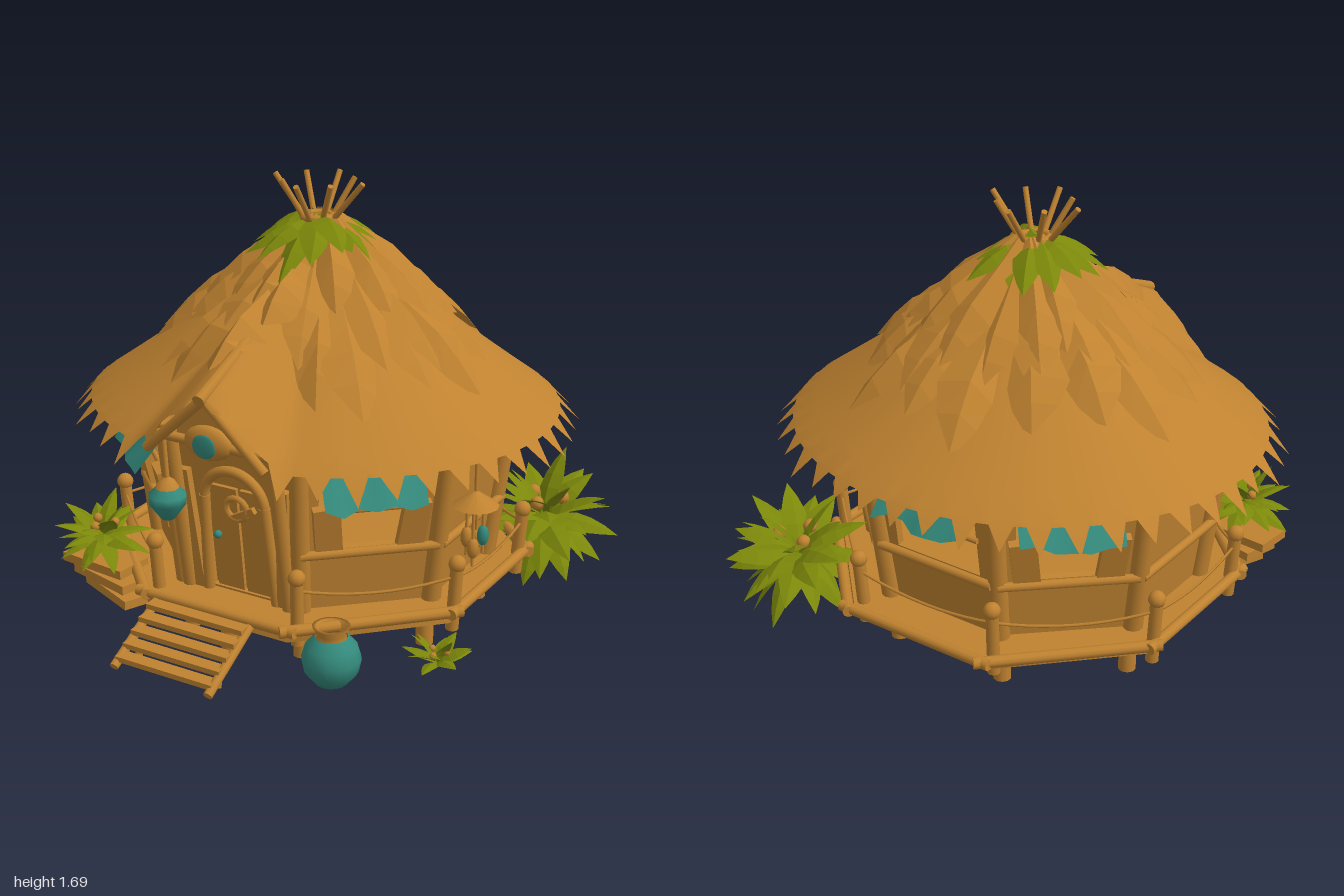
import * as THREE from 'three';

const mat = (name, color) => new THREE.MeshStandardMaterial({ name, color, side: THREE.DoubleSide });
const wood = mat('wood', 0xbf8230), green = mat('leaf green', 0x7c880a), teal = mat('teal', 0x348a7c);
const V = (x, y, z) => new THREE.Vector3(x, y, z);
const CZ = -0.06; // z of the hut's axis
const OVAL = 0.92; // depth of the walls against their width
let seed = 7;
const rnd = (a = 0, b = 1) => a + (b - a) * ((seed = (seed * 16807) % 2147483647) / 2147483647);

function add(parent, name, geo, material, p = [0, 0, 0], rot = [0, 0, 0]) {
  const m = new THREE.Mesh(geo, material);
  m.name = name;
  m.position.set(...p);
  m.rotation.set(...rot);
  parent.add(m);
  return m;
}
function group(parent, name, p = [0, 0, 0]) {
  const g = new THREE.Group();
  g.name = name;
  g.position.set(...p);
  parent.add(g);
  return g;
}
// Round pole between two points
function log(parent, name, a, b, r, r2 = r) {
  const d = b.clone().sub(a);
  const m = add(parent, name, new THREE.CylinderGeometry(r2, r, d.length(), 10), wood);
  m.position.copy(a).addScaledVector(d, 0.5);
  m.quaternion.setFromUnitVectors(V(0, 1, 0), d.normalize());
}
const box = (parent, name, s, p, rot) => add(parent, name, new THREE.BoxGeometry(...s), wood, p, rot);
// Corner k of the octagonal plan; corners 7 and 0 bracket the front
function corner(k, R, y, depth = OVAL) {
  const a = (k + 0.5) * Math.PI / 4;
  return V(Math.sin(a) * R, y, Math.cos(a) * R * depth + CZ);
}

// Folded leaf along +z, from cross-sections of three points
function leafGeo(L, w, fold, bend, widths = [0.2, 0.75, 1, 0.85, 0.5, 0]) {
  const pos = [], idx = [], n = widths.length;
  widths.forEach((f, i) => {
    const t = i / (n - 1), y = -bend * t * t;
    pos.push(-w * f / 2, y, t * L, 0, y + fold * f, t * L, w * f / 2, y, t * L);
    if (i) for (const k of [0, 1]) {
      const a = (i - 1) * 3 + k;
      idx.push(a, a + 3, a + 1, a + 1, a + 3, a + 4);
    }
  });
  const g = new THREE.BufferGeometry();
  g.setAttribute('position', new THREE.Float32BufferAttribute(pos, 3));
  g.setIndex(idx);
  const flat = g.toNonIndexed();
  flat.computeVertexNormals();
  return flat;
}
// Ball of leaves with buds
function plant(parent, name, p, R, count, low) {
  const g = group(parent, name, p);
  for (let i = 0; i < count; i++) {
    const up = low + (0.95 - low) * (i + 0.5) / count;
    const m = add(g, 'leaf', leafGeo(R * rnd(0.88, 1.08), R * 0.4, R * 0.06, R * 0.2), green);
    m.rotation.set(-Math.asin(up), i * 2.4, rnd(-0.5, 0.5), 'YXZ');
  }
  for (let i = 0; i < 3; i++)
    add(g, 'bud', new THREE.SphereGeometry(R * 0.1, 8, 6), wood, [Math.sin(i * 2.1) * R * 0.25, R * 0.3, Math.cos(i * 2.1) * R * 0.25]);
}

// Roof height: a cone, raised to a rounded gable over the door
function roofY(x, z) {
  const r = Math.hypot(x, (z + 0.085) / 0.92);
  const cone = 1.53 - 0.84 * r + 0.08 * r * r;
  return z > 0 ? Math.max(cone, 1.11 - 0.95 * Math.hypot(x, 0.045) + (0.74 - z) * 0.46) : cone;
}

function buildRoof(root) {
  const g = group(root, 'roof');
  // Thatch skin with a toothed rim
  const radii = [0.05, 0.2, 0.35, 0.5, 0.62, 0.73, 0.83, 0.91, 0.97];
  const geo = new THREE.LatheGeometry(radii.map(r => new THREE.Vector2(r, 0)), 132, Math.PI);
  const P = geo.attributes.position;
  for (let i = 0; i < P.count; i++) {
    const rim = i % radii.length === radii.length - 1;
    const seg = Math.floor(i / radii.length) % 132;
    const s = rim ? (seg % 3 === 1 ? rnd(1.0, 1.04) : 0.955) : 1;
    const x = P.getX(i) * s;
    let z = P.getZ(i) * s * 0.92 - 0.085;
    if (Math.abs(x) < 0.27) z = Math.min(z, 0.76);
    P.setXYZ(i, x, roofY(x, z) - (rim && seg % 3 === 1 ? rnd(0.015, 0.04) : 0), z);
  }
  geo.computeVertexNormals();
  add(g, 'thatchSkin', geo, wood);
  // Tiers of large dry leaves laid on the skin: count, inner radius, tip radius, width, lift
  for (const [n, r0, r1, w, lift] of [[17, 0.25, 0.71, 0.25, 0.01], [15, 0.15, 0.6, 0.22, 0.025], [12, 0.05, 0.46, 0.2, 0.04]])
    for (let i = 0; i < n; i++) {
      const leaf = leafGeo((r1 - r0) * rnd(0.82, 1.12), w * rnd(0.85, 1.15), rnd(0.05, 0.08), 0, [0.35, 0.5, 0.75, 1, 0.7, 0]);
      const a = (i + rnd(-0.3, 0.3)) / n * Math.PI * 2, lp = leaf.attributes.position, tilt = rnd(-0.35, 0.35);
      for (let k = 0; k < lp.count; k++) {
        const u = lp.getX(k), v = lp.getZ(k) + r0;
        const x = u * Math.cos(a) + v * Math.sin(a);
        const z = (v * Math.cos(a) - u * Math.sin(a)) * 0.92 - 0.085;
        lp.setXYZ(k, x, roofY(x, z) + lift + lp.getY(k) * 0.8 + u * tilt, z);
      }
      leaf.computeVertexNormals();
      add(g, 'thatchLeaf', leaf, wood);
    }
  // Green crown, binding ring and splayed sticks
  const top = group(g, 'crown', [-0.01, 1.5, CZ]);
  for (let i = 0; i < 14; i++) {
    const long = i % 7 === 0;
    const m = add(top, 'crownLeaf', leafGeo(long ? 0.36 : rnd(0.26, 0.31), 0.125, 0.03, 0.045), green, [0, rnd(0.01, 0.03), 0]);
    m.rotation.set(long ? 0.48 : rnd(0.12, 0.3), i / 14 * Math.PI * 2, rnd(-0.2, 0.2), 'YXZ');
  }
  add(top, 'bindingRing', new THREE.TorusGeometry(0.055, 0.016, 8, 20), wood, [0, 0.025, 0], [Math.PI / 2, 0, 0]);
  for (let i = 0; i < 8; i++) {
    const a = i * Math.PI / 4, s = Math.sin(a), c = Math.cos(a), R = i % 2 ? 0.15 : 0.19;
    log(top, 'crownStick', V(s * 0.03, -0.02, c * 0.03), V(s * R, 0.17, c * R * 0.85), 0.011);
  }
}

function buildWalls(root) {
  const g = group(root, 'walls');
  const windows = [1, 3, 4, 5, 7];
  for (let k = 0; k < 8; k++) {
    const a = k * Math.PI / 4, sin = Math.sin(a), cos = Math.cos(a);
    const f = group(g, 'wallSide', [sin * 0.6, 0.2, cos * 0.6 * OVAL + CZ]);
    f.rotation.set(0.12, Math.atan2(sin, cos / OVAL), 0, 'YXZ');
    const s = new THREE.Shape([[-0.25, 0], [0.25, 0], [0.28, 0.66], [-0.28, 0.66]].map(p => new THREE.Vector2(...p)));
    const hole = new THREE.Path();
    if (windows.includes(k)) {
      hole.moveTo(-0.19, 0.25).lineTo(-0.19, 0.57).lineTo(0.19, 0.57).lineTo(0.19, 0.25).closePath();
      s.holes.push(hole);
      if (k !== 4) for (const e of [-1, 1])
        box(f, 'windowPlank', [0.1, 0.2, 0.035], [e * 0.16, 0.345, 0.035], [0.1, 0, -e * 0.1]);
      log(f, 'windowBar', V(-0.2, 0.41, 0.02), V(0.2, 0.41, 0.02), 0.011);
      // Ragged cloth awning
      const cloth = new THREE.PlaneGeometry(0.38, 0.17, 6, 2), P = cloth.attributes.position;
      for (let i = 0; i < P.count; i++)
        P.setXYZ(i, P.getX(i), P.getY(i) + (i > 13 ? rnd(-0.02, 0.02) : 0), Math.sin(P.getX(i) * 30) * 0.01);
      cloth.computeVertexNormals();
      add(f, 'awning', cloth, teal, [0, 0.52, 0.07], [-0.8, 0, 0]);
    } else if (k === 0) {
      hole.moveTo(-0.13, 0.01).lineTo(-0.13, 0.4).absarc(0, 0.4, 0.13, Math.PI, 0, true).lineTo(0.13, 0.01);
      s.holes.push(hole);
    }
    add(f, 'wallPanel', new THREE.ExtrudeGeometry(s, { depth: 0.03, bevelEnabled: false }), wood, [0, 0, -0.015]);
    if (k) log(f, 'sillRail', V(-0.26, 0.245, 0.04), V(0.26, 0.245, 0.04), 0.018);
    log(f, 'topBeam', V(-0.28, 0.63, 0.02), V(0.28, 0.63, 0.02), 0.025);
    log(g, 'wallPost', corner(k, 0.67, 0.2), corner(k, 0.755, 0.86), 0.038, 0.035);
    if (k === 0) buildDoor(f);
  }
}

function buildDoor(f) {
  const d = group(f, 'door', [0.01, 0, 0]);
  box(d, 'doorPanel', [0.28, 0.56, 0.02], [0, 0.28, -0.02]);
  for (const x of [-0.065, 0.065]) box(d, 'doorBoard', [0.115, 0.44, 0.02], [x, 0.22, -0.005]);
  add(d, 'doorArch', new THREE.TorusGeometry(0.13, 0.02, 8, 20, Math.PI), wood, [0, 0.4, 0.03]);
  for (const e of [-1, 1]) {
    log(d, 'doorJamb', V(e * 0.15, 0, 0.03), V(e * 0.13, 0.41, 0.03), 0.022);
    box(d, 'doorSidePlank', [0.05, 0.5, 0.03], [e * 0.2, 0.25, 0.03], [0, 0, -e * 0.06]);
  }
  add(d, 'doorRing', new THREE.TorusGeometry(0.045, 0.012, 6, 14), wood, [0, 0.37, 0.02]);
  box(d, 'doorBar', [0.13, 0.025, 0.02], [0.02, 0.35, 0.02], [0, 0, 0.5]);
  add(d, 'doorKnob', new THREE.SphereGeometry(0.016, 10, 8), teal, [-0.095, 0.24, 0.02]);
}

function buildGable(root) {
  const g = group(root, 'gable');
  const tri = new THREE.Shape([[-0.24, 0.83], [0.24, 0.83], [0, 1.05]].map(p => new THREE.Vector2(...p)));
  add(g, 'gablePanel', new THREE.ExtrudeGeometry(tri, { depth: 0.02, bevelEnabled: false }), wood, [0, 0, 0.61]);
  for (const e of [-1, 1]) {
    log(g, 'gableRafter', V(0, 1.05, 0.74), V(e * 0.25, 0.82, 0.74), 0.02);
    log(g, 'gablePost', V(e * 0.22, 0.2, 0.53), V(e * 0.22, 0.86, 0.64), 0.028);
  }
  log(g, 'crossBeam', V(-0.24, 0.86, 0.69), V(0.24, 0.86, 0.69), 0.018);
  log(g, 'ridgeLog', V(0, 1.05, 0.77), V(0, 1.18, 0.45), 0.025);
  add(g, 'shield', new THREE.SphereGeometry(0.1, 20, 12), wood, [-0.01, 0.87, 0.7]).scale.set(1, 0.65, 0.35);
  add(g, 'shieldPaint', new THREE.SphereGeometry(0.05, 14, 10), teal, [-0.01, 0.865, 0.729]).scale.set(1, 0.9, 0.16);
}

function buildDeck(root) {
  const g = group(root, 'deck');
  const floor = new THREE.CylinderGeometry(0.8, 0.8, 0.04, 8, 1, false, Math.PI / 8);
  add(g, 'floor', floor, wood, [0, 0.18, CZ + 0.01]);
  for (let k = 0; k < 8; k++) {
    const a = corner(k, 0.82, 0.21, 1), b = corner(k + 1, 0.82, 0.21, 1), out = b.clone().sub(a).multiplyScalar(0.05);
    log(g, 'edgeLog', a.clone().sub(out), b.clone().add(out), 0.022);
    log(g, 'pile', corner(k, 0.64, 0), corner(k, 0.64, 0.19), 0.034);
    const q = corner(k, 0.81, 0.38);
    log(g, 'railPost', corner(k, 0.79, 0.12), q, 0.025);
    add(g, 'postKnob', new THREE.SphereGeometry(0.033, 10, 8), wood, [q.x, 0.39, q.z]);
    if (k < 7) {
      const e = corner(k + 1, 0.81, 0.34), mid = q.clone().add(e).multiplyScalar(0.5).setY(0.27);
      const curve = new THREE.QuadraticBezierCurve3(q.clone().setY(0.34), mid, e);
      add(g, 'railRope', new THREE.TubeGeometry(curve, 10, 0.006, 5), wood);
    }
  }
  log(g, 'pile', V(0, 0, 0.6), V(0, 0.19, 0.6), 0.034);
  // Stacked planks under the corner plant and a box below the floor
  for (let i = 0; i < 3; i++) box(g, 'stackedPlank', [0.3, 0.035, 0.16], [-0.53 - i * 0.04, 0.11 + i * 0.05, 0.55], [0, 0.15 * i - 0.4, 0]);
  box(g, 'underfloorBox', [0.28, 0.09, 0.18], [-0.45, 0.14, 0.05]);
  // Front steps
  const s = group(root, 'steps');
  for (const x of [-0.25, 0.16]) log(s, 'stepRail', V(x, 0.21, 0.68), V(x, 0.045, 0.985), 0.018);
  for (let i = 0; i < 5; i++) box(s, 'tread', [0.42, 0.02, 0.055], [-0.045, 0.195 - i * 0.031, 0.745 + i * 0.05]);
  for (const x of [-0.22, 0.13]) log(s, 'stepFoot', V(x, 0.02, 0.88), V(x, 0.1, 0.86), 0.015);
}

function buildProps(root) {
  const lathe = (pts, n) => new THREE.LatheGeometry(pts.map(p => new THREE.Vector2(...p)), n);
  const pot = group(root, 'pot', [0.45, 0, 0.62]);
  add(pot, 'potBody', lathe([[0, 0.01], [0.06, 0.012], [0.1, 0.06], [0.11, 0.11], [0.095, 0.16], [0.06, 0.195]], 16), teal);
  add(pot, 'potNeck', lathe([[0.06, 0.18], [0.05, 0.205], [0.07, 0.235], [0.055, 0.235], [0.04, 0.2]], 16), wood);
  const lantern = group(root, 'lantern', [-0.205, 0.605, 0.685]);
  add(lantern, 'lanternBody', lathe([[0, -0.085], [0.025, -0.075], [0.072, -0.01], [0.072, 0.02], [0.03, 0.06]], 10), teal);
  add(lantern, 'lanternCap', lathe([[0.045, 0.048], [0.028, 0.075], [0, 0.095]], 10), wood);
  log(lantern, 'lanternRope', V(0, 0.08, 0), V(-0.01, 0.24, 0), 0.01);
  const chime = group(root, 'windChime', [0.825, 0, 0.25]);
  add(chime, 'chimeHat', new THREE.ConeGeometry(0.085, 0.06, 12), wood, [0, 0.68, 0]);
  log(chime, 'chimeRope', V(0, 0.7, 0), V(0, 0.83, 0), 0.007);
  for (let i = 0; i < 4; i++) {
    const x = Math.sin(i * 1.57 + 0.5) * 0.025, z = Math.cos(i * 1.57 + 0.5) * 0.045, y = 0.5 + (i % 2) * 0.03;
    log(chime, 'chimeString', V(x, y - 0.07, z), V(x, 0.66, z), 0.006);
    add(chime, 'chimeBead', new THREE.SphereGeometry(0.022, 10, 8), i === 1 ? teal : wood, [x, y, z]).scale.set(1, 1.8, 1);
  }
  plant(root, 'backPlant', [0.71, 0.23, -0.65], 0.29, 40, -0.7);
  plant(root, 'cornerPlant', [-0.6, 0.32, 0.57], 0.19, 28, -0.4);
  plant(root, 'groundPlant', [0.73, 0.03, 0.33], 0.14, 12, 0.25);
}

export function createModel() {
  seed = 7;
  const root = new THREE.Group();
  root.name = 'thatchedHut';
  buildRoof(root);
  buildWalls(root);
  buildGable(root);
  buildDeck(root);
  buildProps(root);
  return root;
}
